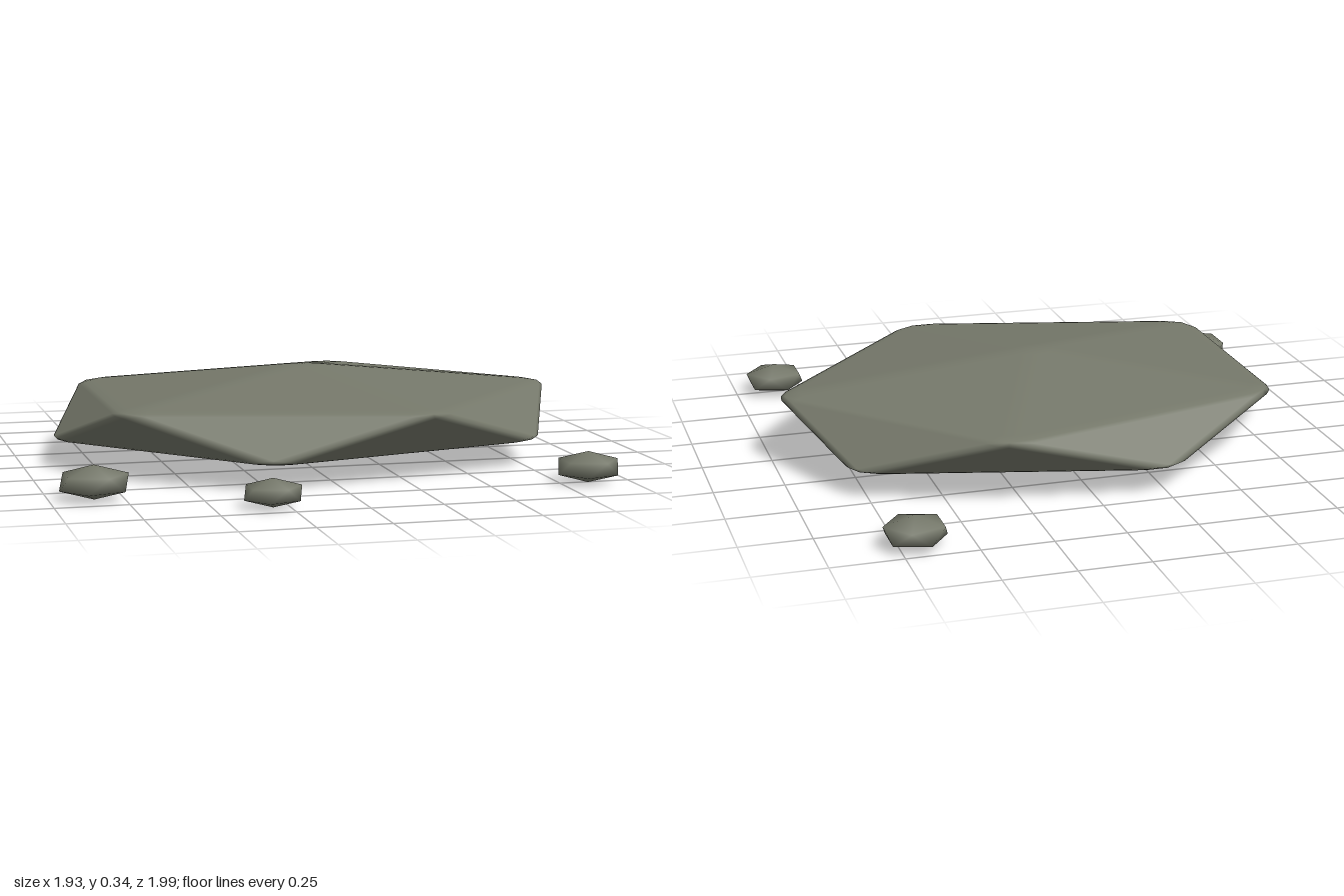
import * as THREE from 'three';
import { ConvexGeometry } from 'three/addons/geometries/ConvexGeometry.js';

const INRADIUS = 0.7947; // of a unit icosahedron

// Twelve icosahedron corners, standing on one corner
function icoCorners() {
  const corners = [new THREE.Vector3(0, 1, 0), new THREE.Vector3(0, -1, 0)];
  const r = 2 / Math.sqrt(5);
  for (let i = 0; i < 10; i++) {
    const a = i * Math.PI / 5;
    corners.push(new THREE.Vector3(r * Math.cos(a), i % 2 ? -r / 2 : r / 2, r * Math.sin(a)));
  }
  return corners;
}

// Icosahedron with edges and corners rounded by a share k (0 = plain), smooth normals
function stoneGeometry(k, sx, sy, sz) {
  const corners = icoCorners();
  const touching = (a, b) => a !== b && a.dot(b) > 0.4;
  const points = [];
  for (const v of corners) {
    if (k === 0) { points.push(v); continue; }
    const add = (n) => points.push(v.clone().multiplyScalar(1 - k).addScaledVector(n.normalize(), k * INRADIUS));
    add(v.clone());
    const near = corners.filter((u) => touching(u, v));
    near.forEach((u, i) => {
      add(v.clone().add(u));
      near.slice(i + 1).filter((w) => touching(u, w)).forEach((w) => add(v.clone().add(u).add(w)));
    });
  }
  const geo = new ConvexGeometry(points);
  const pos = geo.attributes.position, nor = geo.attributes.normal;
  const p = new THREE.Vector3();
  for (let i = 0; i < pos.count; i++) {
    p.fromBufferAttribute(pos, i);
    const v = corners.reduce((a, b) => (b.dot(p) > a.dot(p) ? b : a));
    if (k > 0) p.addScaledVector(v, k - 1);
    p.normalize();
    nor.setXYZ(i, p.x, p.y, p.z);
  }
  geo.scale(sx, sy, sz);
  return geo;
}

export function createModel() {
  const model = new THREE.Group();
  model.name = 'flatRockWithPebbles';
  const stone = new THREE.MeshStandardMaterial({ color: 0x75786a });
  stone.name = 'mossy grey stone';

  // Large flat slab
  const slab = new THREE.Mesh(stoneGeometry(0.17, 1.056, 0.175, 0.835), stone);
  slab.name = 'slab';
  slab.position.set(0.037, 0.172, -0.02);
  model.add(slab);

  // Scattered pebbles: x, z, radius
  const pebbles = [[-0.85, 0.636, 0.131], [-0.306, 0.91, 0.109], [0.851, 0.755, 0.121], [0.694, -0.905, 0.121]];
  pebbles.forEach(([x, z, r], i) => {
    const pebble = new THREE.Mesh(stoneGeometry(0, r, r * 0.45, r * 0.92), stone);
    pebble.name = 'pebble' + (i + 1);
    pebble.position.set(x, 0.003 + r * 0.45, z);
    model.add(pebble);
  });
  return model;
}
